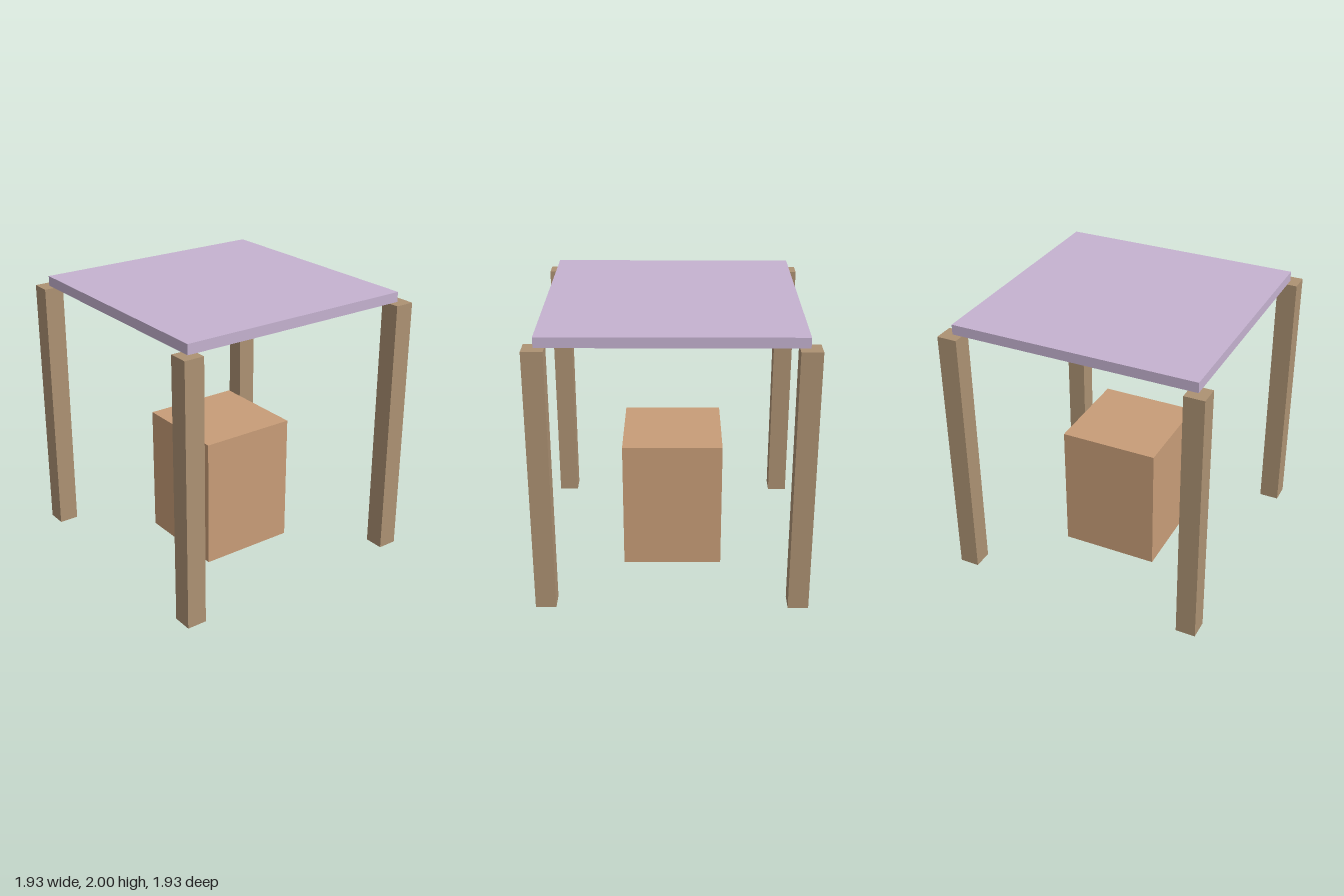
import * as THREE from 'three';

export function createModel() {
  const model = new THREE.Group();

  // Adds a box whose underside sits at the given height
  function addBox(name, material, width, height, depth, x, bottom, z) {
    const mesh = new THREE.Mesh(new THREE.BoxGeometry(width, height, depth), material);
    mesh.name = name;
    mesh.position.set(x, bottom + height / 2, z);
    model.add(mesh);
  }

  const postMaterial = new THREE.MeshStandardMaterial({ color: 0xad9273 });
  const blockMaterial = new THREE.MeshStandardMaterial({ color: 0xc89d78 });
  const roofMaterial = new THREE.MeshStandardMaterial({ color: 0xc5b2d0 });

  const postHeight = 1.927;
  const postOffset = 0.891;

  // Four corner posts
  for (const [side, sx] of [['Left', 1], ['Right', -1]]) {
    for (const [end, sz] of [['front', 1], ['back', -1]]) {
      addBox(`${end}${side}Post`, postMaterial, 0.145, postHeight, 0.145,
        sx * postOffset, 0, sz * postOffset);
    }
  }

  // Flat roof slab resting on the posts
  addBox('roof', roofMaterial, 1.782, 2 - postHeight, 1.782, 0, postHeight, 0);

  // Central block on the ground
  addBox('centralBlock', blockMaterial, 0.727, 0.964, 0.727, 0, 0, 0);

  return model;
}
